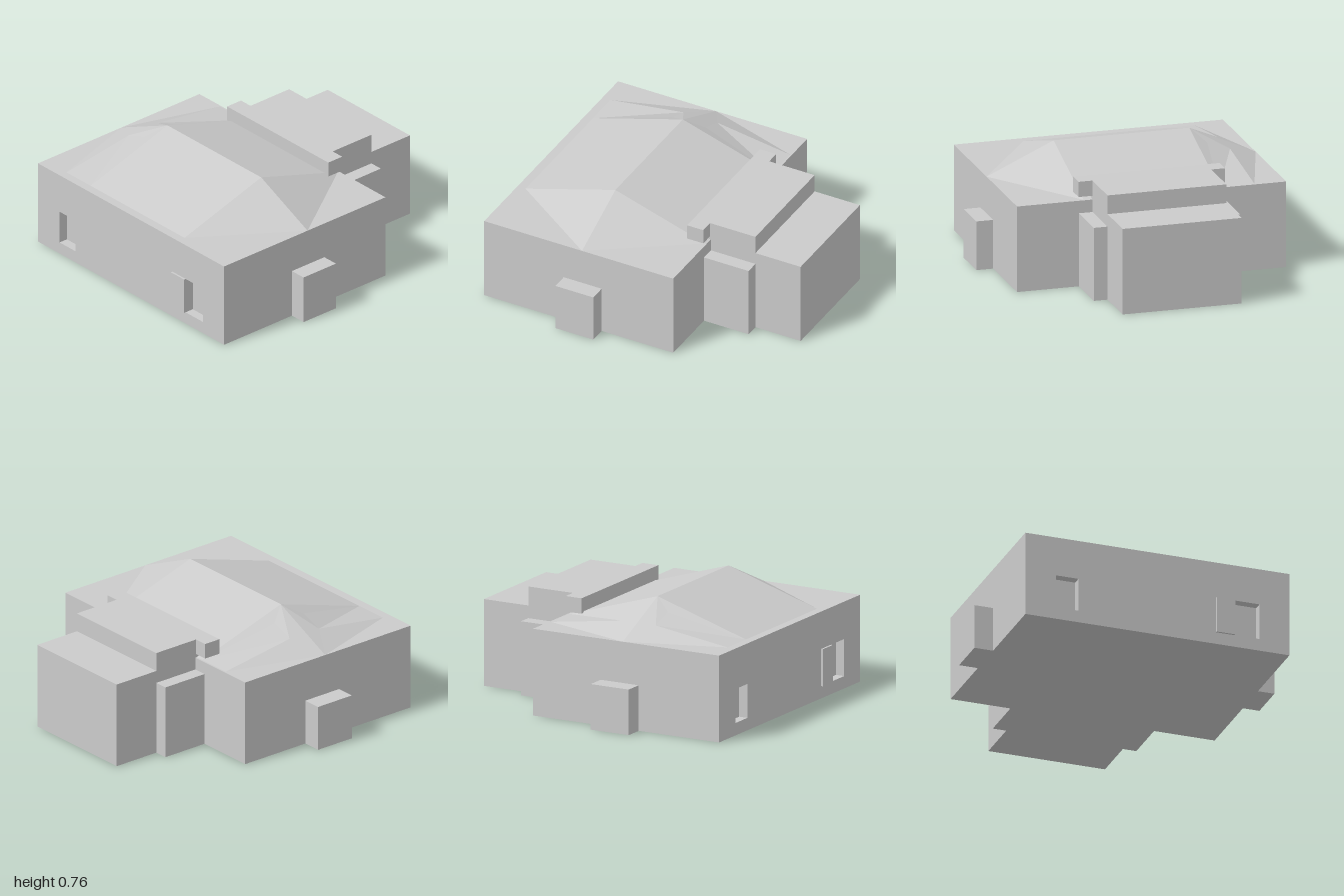
import * as THREE from 'three';

export function createModel() {
  const group = new THREE.Group();
  const mat = new THREE.MeshStandardMaterial({ color: 0xcccccc, flatShading: true });

  const add = (name, geo) => {
    const mesh = new THREE.Mesh(geo, mat);
    mesh.name = name;
    group.add(mesh);
    return mesh;
  };
  // Box given by its extents on each axis
  const box = (name, [x0, x1], [y0, y1], [z0, z1]) =>
    add(name, new THREE.BoxGeometry(x1 - x0, y1 - y0, z1 - z0)
      .translate((x0 + x1) / 2, (y0 + y1) / 2, (z0 + z1) / 2));
  // Rectangle outline for the front wall and its openings
  const rect = (path, x0, x1, y0, y1) =>
    path.moveTo(x0, y0).lineTo(x1, y0).lineTo(x1, y1).lineTo(x0, y1).closePath();

  const W0 = -0.875, W1 = 0.89, H = 0.562, front = 0.987, reveal = 0.06;

  // Main block, with a front wall that holds two recessed windows
  box('mainBlock', [W0, W1], [0, H], [-0.36, front - reveal]);
  const wall = new THREE.Shape();
  rect(wall, W0, W1, 0, H);
  for (const w of [[-0.67, -0.52, 0.08, 0.3], [0.525, 0.69, 0.08, 0.32]]) {
    const hole = new THREE.Path();
    rect(hole, ...w);
    wall.holes.push(hole);
  }
  add('frontWall', new THREE.ExtrudeGeometry(wall, { depth: reveal, bevelEnabled: false })
    .translate(0, 0, front - reveal));
  box('shutter', [0.4, 0.525], [0.08, 0.32], [front - 0.01, 1]);

  // Side wings
  box('rightWing', [-1, W0], [0, 0.295], [0.13, 0.405]);
  box('leftWing', [W1, 1], [0, 0.32], [0.15, 0.42]);

  // Rear extension with its side closets and raised roof slab
  box('rearExtension', [-0.385, 0.395], [0, H], [-1, -0.3]);
  box('rearClosets', [-0.475, 0.485], [0, 0.48], [-0.678, -0.3]);
  box('raisedRoof', [-0.385, 0.395], [0.48, 0.685], [-0.678, -0.24]);
  box('raisedRoofLip', [-0.475, 0.485], [0.585, 0.685], [-0.355, -0.24]);

  // Hipped roof: one half as [x, y, offset from ridge], mirrored across the ridge
  const ridgeZ = 0.29;
  const p = {
    tipL: [W1, H, 0], ridgeL: [0.45, 0.76, 0], eaveL: [0.45, H, 0.64],
    tipR: [W0, H, 0], ridgeR: [-0.44, 0.76, 0], eaveR: [-0.44, H, 0.64],
    low: [-0.67, 0.637, 0.12], high: [-0.52, 0.69, 0.12], corner: [-0.67, H, 0.64],
  };
  const faces = [
    ['tipL', 'ridgeL', 'eaveL'],
    ['ridgeL', 'ridgeR', 'eaveR'], ['ridgeL', 'eaveR', 'eaveL'],
    ['ridgeR', 'high', 'eaveR'], ['high', 'low', 'eaveR'],
    ['low', 'corner', 'eaveR'], ['low', 'tipR', 'corner'],
    ['ridgeR', 'tipR', 'low'], ['ridgeR', 'low', 'high'],
  ];
  const pos = [];
  for (const side of [1, -1]) {
    for (const face of faces) {
      const order = side > 0 ? face : [...face].reverse();
      for (const k of order) pos.push(p[k][0], p[k][1], ridgeZ + side * p[k][2]);
    }
  }
  const roof = new THREE.BufferGeometry();
  roof.setAttribute('position', new THREE.Float32BufferAttribute(pos, 3));
  roof.computeVertexNormals();
  add('hippedRoof', roof);

  return group;
}
